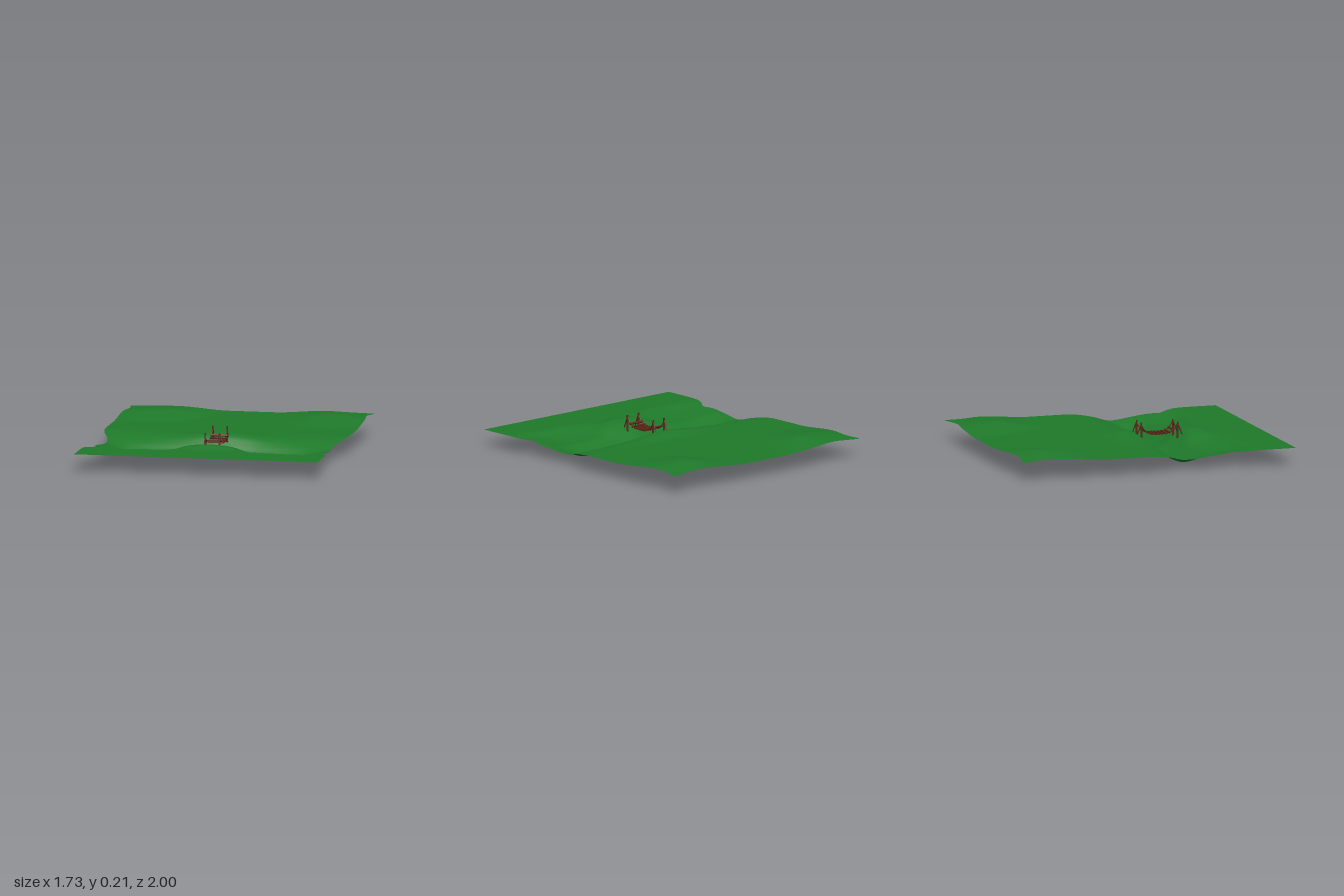
import * as THREE from 'three';

const GROUND = 0.125;

// Height stations of the ravine: one row per distance from the centre line
const zs = [-0.15, -0.08, 0.02, 0.1, 0.16, 0.2, 0.26, 0.36, 0.42, 0.48, 0.57, 0.62, 0.68, 0.75];
const xs = [0, 0.15, 0.3, 0.6, 0.865];
const rows = [
  [0.125, 0.13, 0.15, 0.138, 0.085, 0.05, 0.015, 0.065, 0.1, 0.135, 0.146, 0.135, 0.125, 0.125],
  [0.125, 0.128, 0.14, 0.13, 0.08, 0.04, 0.008, 0.05, 0.095, 0.125, 0.132, 0.125, 0.125, 0.125],
  [0.125, 0.125, 0.128, 0.115, 0.075, 0.04, 0.004, 0.045, 0.075, 0.085, 0.1, 0.115, 0.125, 0.125],
  [0.125, 0.123, 0.118, 0.1, 0.075, 0.05, 0.02, 0.045, 0.07, 0.075, 0.085, 0.095, 0.12, 0.125],
  [0.125, 0.125, 0.115, 0.1, 0.082, 0.076, 0.078, 0.09, 0.097, 0.103, 0.11, 0.115, 0.122, 0.125],
];
// Inward pull of the side edges along z
const edgeZ = [-1, -0.87, -0.7, -0.5, -0.1, 0, 0.15, 0.3, 0.45, 0.51, 0.56, 0.63, 0.7, 1];
const edgePull = [0, 0.022, 0.003, 0, 0, 0.015, 0.065, 0.055, 0.045, 0.05, 0.07, 0.025, 0.004, 0];

// Smooth interpolation through stations, level outside them (Hermite)
function sample(keys, vals, k) {
  const n = keys.length - 1;
  if (k <= keys[0]) return vals[0];
  if (k >= keys[n]) return vals[n];
  let i = 0;
  while (k > keys[i + 1]) i++;
  const slope = (j) => (j <= 0 || j >= n ? 0 : (vals[j + 1] - vals[j - 1]) / (keys[j + 1] - keys[j - 1]));
  const d = keys[i + 1] - keys[i], t = (k - keys[i]) / d, t2 = t * t, t3 = t2 * t;
  return (2 * t3 - 3 * t2 + 1) * vals[i] + (t3 - 2 * t2 + t) * d * slope(i)
    + (3 * t2 - 2 * t3) * vals[i + 1] + (t3 - t2) * d * slope(i + 1);
}

// Pair of low hills at the back
function hill(x, z) {
  const start = THREE.MathUtils.clamp(0.2 + (z + 0.85) * 0.45, 0.15, 0.42);
  const across = sample([start, 0.55, 0.95], [0, 1, 0.5], x);
  const along = sample([-1.02, -0.74, -0.36], [0.55, 1, 0], z);
  return 0.043 * across * along;
}

function height(x, z) {
  const ax = Math.abs(x);
  return sample(xs, rows.map((r) => sample(zs, r, z)), ax) + hill(ax, z);
}

function makeTerrain() {
  const geo = new THREE.PlaneGeometry(1.73, 2, 100, 140).rotateX(-Math.PI / 2);
  const p = geo.attributes.position;
  for (let i = 0; i < p.count; i++) {
    const x = p.getX(i), z = p.getZ(i), u = Math.abs(x) / 0.865;
    const pull = sample(edgeZ, edgePull, z) * u ** 5;
    const back = z < -0.8 ? 0.022 * sample([0.45, 0.66, 0.865], [0, 1, 0], Math.abs(x)) * ((-z - 0.8) / 0.2) ** 2 : 0;
    p.setXYZ(i, x - Math.sign(x) * pull, height(x, z), z + back);
  }
  geo.computeVertexNormals();
  const mat = new THREE.MeshStandardMaterial({ color: 0x1f7a2a, side: THREE.DoubleSide });
  const mesh = new THREE.Mesh(geo, mat);
  mesh.name = 'terrain';
  return mesh;
}

const wood = new THREE.MeshStandardMaterial({ color: 0x5c2618 });

function add(group, name, geo, x = 0, y = 0, z = 0) {
  const mesh = new THREE.Mesh(geo, wood);
  mesh.name = name;
  mesh.position.set(x, y, z);
  group.add(mesh);
}

function rope(points, radius, segments) {
  const path = new THREE.CatmullRomCurve3(points.map((q) => new THREE.Vector3(...q)));
  return new THREE.TubeGeometry(path, segments, radius, 6);
}

function makeBridge() {
  const bridge = new THREE.Group();
  bridge.name = 'ropeBridge';
  const near = 0.407, far = 0.14, mid = (near + far) / 2, half = (near - far) / 2;
  const sag = (z) => GROUND + 0.07 * Math.abs((z - mid) / half) ** 4;

  for (const x of [-0.051, 0.051]) {
    // Posts with a slight taper, set into the banks
    for (const [z, top, base] of [[near, 0.205, 0.085], [far, 0.214, 0.075]]) {
      add(bridge, 'post', new THREE.CylinderGeometry(0.006, 0.008, top - base, 8), x, (top + base) / 2, z);
    }
    // Ropes anchored in the ground beyond each post
    add(bridge, 'anchorRope', rope([[x, 0.195, near], [x, 0.115, near + 0.032], [x, 0.055, near + 0.055]], 0.004, 8));
    add(bridge, 'anchorRope', rope([[x, 0.205, far], [x, 0.125, far - 0.032], [x, 0.06, far - 0.057]], 0.004, 8));
    // Sagging carrying rope
    const points = [];
    for (let i = 0; i <= 14; i++) {
      const z = far + (near - far) * i / 14;
      points.push([x, sag(z), z]);
    }
    add(bridge, 'deckRope', rope(points, 0.003, 32));
  }

  // Deck planks
  for (let i = 0; i < 9; i++) {
    const z = 0.17 + i * 0.0256;
    add(bridge, 'plank', new THREE.BoxGeometry(0.122, 0.009, 0.014), 0, sag(z), z);
    const slope = (sag(z + 0.002) - sag(z - 0.002)) / 0.004;
    bridge.children.at(-1).rotation.x = -Math.atan(slope);
  }
  return bridge;
}

export function createModel() {
  const model = new THREE.Group();
  model.name = 'valleyWithBridge';
  model.add(makeTerrain(), makeBridge());
  return model;
}
